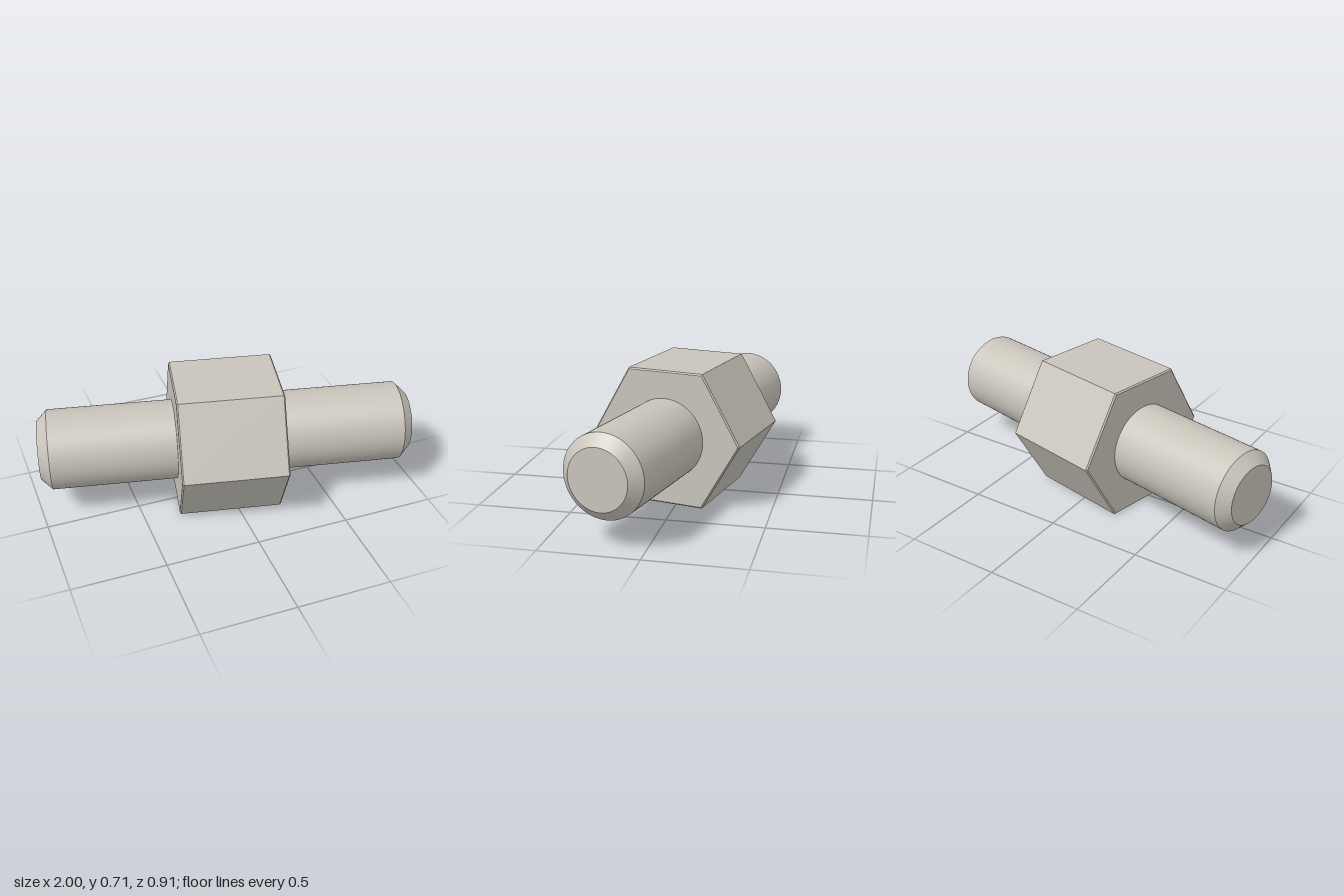
import * as THREE from 'three';
import { toCreasedNormals } from 'three/addons/utils/BufferGeometryUtils.js';

const CENTRE_Y = 0.354;
const TILT = -THREE.MathUtils.degToRad(12);

// Chamfered bar along x: half length, radius, chamfer length and depth, number of sides
function chamferedBar(half, radius, chamferLength, chamferDepth, sides) {
  const profile = [
    [0, -half],
    [radius - chamferDepth, -half],
    [radius, -half + chamferLength],
    [radius, half - chamferLength],
    [radius - chamferDepth, half],
    [0, half],
  ].map(([r, y]) => new THREE.Vector2(r, y));
  const geometry = new THREE.LatheGeometry(profile, sides);
  geometry.rotateZ(-Math.PI / 2);
  return toCreasedNormals(geometry, THREE.MathUtils.degToRad(25));
}

export function createModel() {
  const metal = new THREE.MeshStandardMaterial({ color: 0xc8c4ba });
  metal.name = 'warm grey metal';

  const model = new THREE.Group();
  model.name = 'hexStud';

  // Round shaft running through the hexagon
  const shaft = new THREE.Mesh(chamferedBar(0.988, 0.211, 0.056, 0.056, 96), metal);
  shaft.name = 'shaft';

  // Hexagonal body with flats at top and bottom
  const body = new THREE.Mesh(chamferedBar(0.276, 0.409, 0.007, 0.008, 6), metal);
  body.name = 'hexBody';

  const fitting = new THREE.Group();
  fitting.name = 'fitting';
  fitting.add(shaft, body);
  fitting.position.y = CENTRE_Y;
  fitting.rotation.y = TILT;
  model.add(fitting);
  return model;
}
